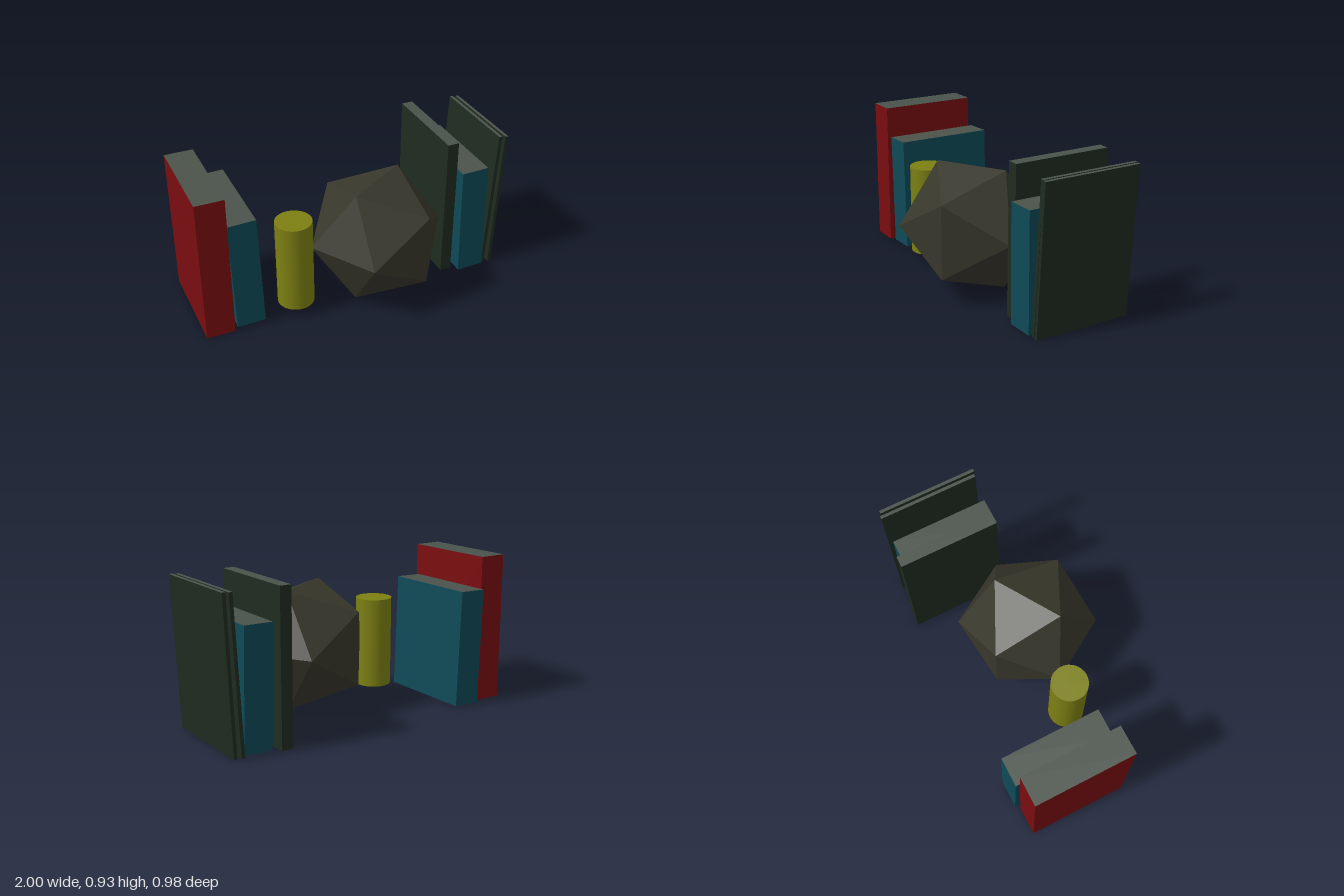
import * as THREE from 'three';

const mat = (color) => new THREE.MeshStandardMaterial({ color, flatShading: true });
const red = mat(0x7a0d10), teal = mat(0x0e4a57), green = mat(0x1f2b20), paper = mat(0x4a534b);

// A book: coloured cover on the four sides, paper on the top and bottom edges
function makeBook(name, cover, x, z, width, height, lean) {
  const depth = 0.625;
  const book = new THREE.Group();
  book.name = name;
  const sides = new THREE.BoxGeometry(width, height, depth);
  const index = Array.from(sides.index.array);
  const pages = sides.clone();
  // box faces run +x, -x, +y, -y, +z, -z with six indices each
  sides.setIndex([...index.slice(0, 12), ...index.slice(24)]);
  pages.setIndex(index.slice(12, 24));
  sides.clearGroups();
  pages.clearGroups();
  const coverMesh = new THREE.Mesh(sides, cover);
  coverMesh.name = 'cover';
  const pageMesh = new THREE.Mesh(pages, paper);
  pageMesh.name = 'pageEdges';
  book.add(coverMesh, pageMesh);
  book.rotation.z = lean;
  // rest the lower corner on the shelf
  const y = (height * Math.cos(lean) + width * Math.abs(Math.sin(lean))) / 2;
  book.position.set(x, y, z);
  return book;
}

export function createModel() {
  const model = new THREE.Group();
  model.name = 'shelfDisplay';

  // Books: name, cover, x, z, width, height, lean
  const books = [
    ['thickBook', red, -0.911, -0.137, 0.178, 0.93, 0],
    ['leaningBookRight', teal, -0.72, -0.162, 0.178, 0.73, 0.029],
    ['uprightBook', green, 0.637, -0.179, 0.072, 0.93, 0],
    ['leaningBookLeft', teal, 0.79, -0.137, 0.178, 0.73, 0.02],
    ['thinBookInner', green, 0.928, -0.154, 0.021, 0.926, -0.056],
    ['thinBookOuter', green, 0.967, -0.143, 0.021, 0.926, -0.048],
  ];
  for (const b of books) model.add(makeBook(...b));

  // Yellow canister
  const canister = new THREE.Mesh(
    new THREE.CylinderGeometry(0.114, 0.114, 0.574, 32),
    new THREE.MeshStandardMaterial({ color: 0x7d8012 })
  );
  canister.name = 'canister';
  canister.position.set(-0.4, 0.347, 0.1);
  model.add(canister);

  // Twenty-sided ornament, turned so that one corner points along x
  const ornament = new THREE.Mesh(new THREE.IcosahedronGeometry(0.434, 0), mat(0x38372b));
  ornament.name = 'facetedOrnament';
  ornament.rotation.y = Math.atan(2 / (1 + Math.sqrt(5)));
  ornament.position.set(0.144, 0.41, 0.1);
  model.add(ornament);

  return model;
}
